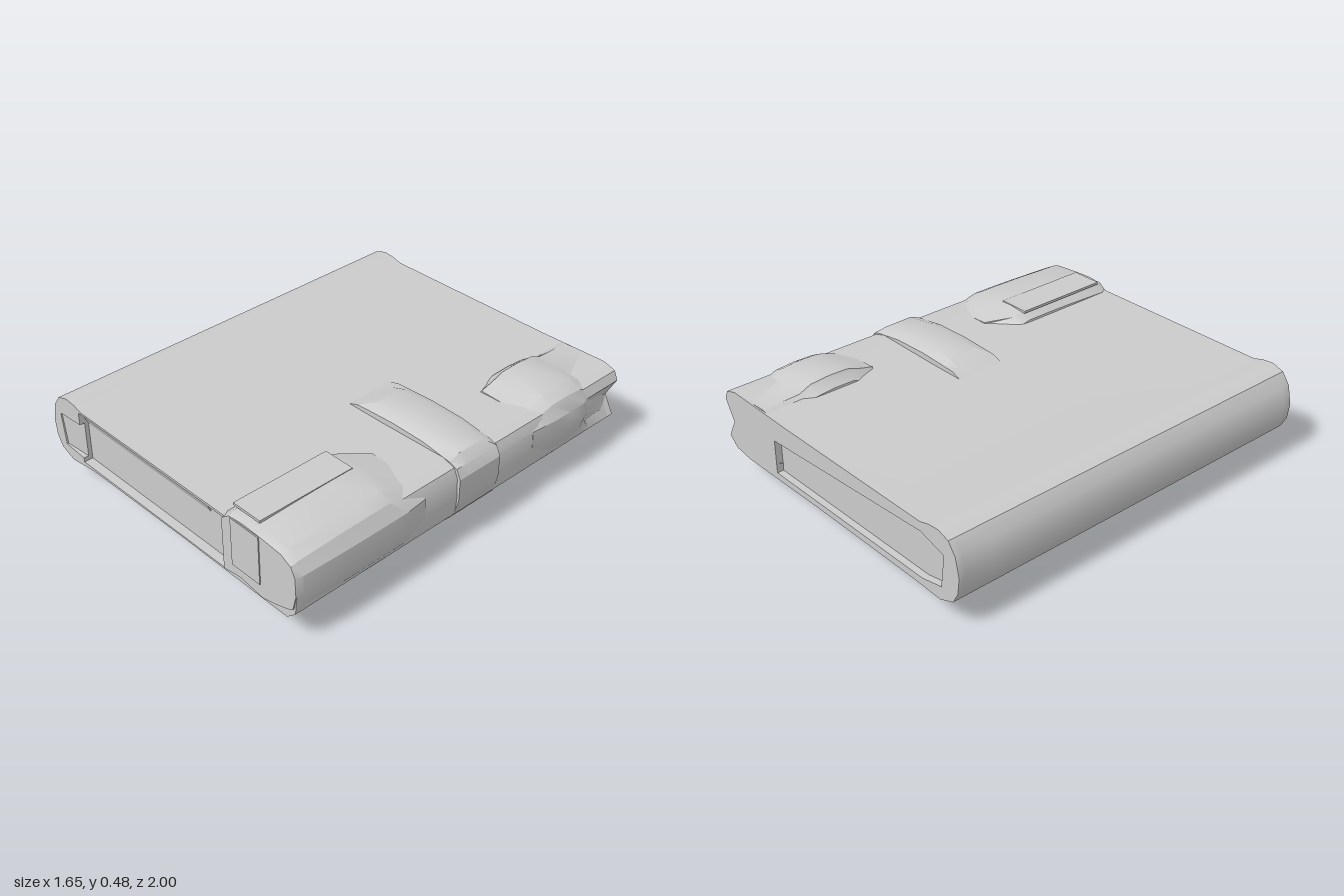
import * as THREE from 'three';
import { toCreasedNormals } from 'three/addons/utils/BufferGeometryUtils.js';

const material = new THREE.MeshStandardMaterial({ color: 0xcccccc, side: THREE.DoubleSide });

function addMesh(group, name, geometry, crease = 0.5) {
  const mesh = new THREE.Mesh(toCreasedNormals(geometry, crease), material);
  mesh.name = name;
  group.add(mesh);
  return mesh;
}

// Skin a closed solid through counter-clockwise outlines, ordered back to front.
function loft(sections) {
  const n = sections[0].points.length;
  const positions = [];
  const index = [];
  sections.forEach(({ z, points }) => points.forEach(([x, y]) => positions.push(x, y, z)));
  for (let k = 0; k < sections.length - 1; k++) {
    for (let i = 0; i < n; i++) {
      const a = k * n + i, b = k * n + (i + 1) % n;
      index.push(a, b, b + n, a, b + n, a + n);
    }
  }
  const cap = (section, base, flip) => {
    const outline = section.points.map(([x, y]) => new THREE.Vector2(x, y));
    THREE.ShapeUtils.triangulateShape(outline, []).forEach(([a, b, c]) =>
      index.push(base + a, base + (flip ? c : b), base + (flip ? b : c)));
  };
  cap(sections[0], 0, true);
  cap(sections.at(-1), (sections.length - 1) * n, false);
  const geometry = new THREE.BufferGeometry();
  geometry.setAttribute('position', new THREE.Float32BufferAttribute(positions, 3));
  geometry.setIndex(index);
  geometry.computeVertexNormals();
  return geometry;
}

// Book outline: rounded spine on the right-hand side, fore edge on the left-hand side.
const bookOutline = (dent = 0, low = 0) => [
  [0.72, 0.435], [0.35, 0.427], [-0.6, 0.425], [-0.65, 0.44], [-0.71, 0.445],
  [-0.77, 0.425], [-0.81, 0.37], [-0.83, 0.28], [-0.82, 0.2], [-0.79, 0.145],
  [-0.71, 0.113], [-0.55, 0.12 + low], [0.1, 0.125 + low], [0.65, 0.12 + low],
  [0.75, 0.135], [0.8, 0.18], [0.81 - dent, 0.27], [0.805, 0.37], [0.785, 0.415],
];

// Clasp outline wrapping the fore edge between inner edge x0 and the outer edge.
const claspOutline = (x0, top, bottom, outer = 0.825, low = 0.3) => [
  [x0, 0.4], [x0, 0.2], [low, 0.15], [low + 0.1, bottom + 0.02], [low + 0.24, bottom],
  [0.68, bottom + 0.015], [0.76, Math.max(bottom + 0.04, 0.13)], [outer - 0.02, 0.2],
  [outer, 0.28], [outer - 0.003, 0.37], [0.785, top - 0.045], [0.73, top - 0.015],
  [0.6, top - 0.004], [0.5, top], [x0 + 0.05, top - 0.008], [x0 + 0.005, top - 0.04],
];

const shapeOf = points => new THREE.Shape(points.map(p => new THREE.Vector2(...p)));

// Raised border of an end face, leaving the page block set back.
function endRim(group, name, outline, hole, z, depth) {
  const shape = shapeOf(outline);
  shape.holes.push(new THREE.Path(hole.map(p => new THREE.Vector2(...p))));
  const geometry = new THREE.ExtrudeGeometry(shape, { depth, bevelEnabled: false });
  addMesh(group, name, geometry.translate(0, 0, z));
}

export function createModel() {
  const model = new THREE.Group();
  model.name = 'claspedBook';

  // Closed book with a hollow at the back end of the fore edge
  addMesh(model, 'bookBody', loft([
    { z: -0.965, points: bookOutline(0.06) },
    { z: -0.82, points: bookOutline(0.04) },
    { z: -0.76, points: bookOutline(0) },
    { z: 0.2, points: bookOutline(0) },
    { z: 0.945, points: bookOutline(0, 0.015) },
  ]));

  // Cover borders at both ends
  endRim(model, 'frontCoverRim', bookOutline(0, 0.015), [
    [-0.62, 0.415], [-0.62, 0.35], [-0.77, 0.34], [-0.75, 0.18],
    [-0.62, 0.17], [-0.62, 0.148], [0.37, 0.148], [0.37, 0.415],
  ], 0.945, 0.045);
  endRim(model, 'backCoverRim', bookOutline(0.06), [
    [-0.74, 0.34], [-0.72, 0.18], [-0.6, 0.155], [0.42, 0.155], [0.42, 0.32], [-0.6, 0.38],
  ], -0.998, 0.033);

  // Sloping page edge beneath the top cover
  const slope = new THREE.ExtrudeGeometry(
    shapeOf([[-0.945, 0.34], [-0.945, 0.416], [-0.98, 0.416]]),
    { depth: 0.86, bevelEnabled: false });
  addMesh(model, 'pageEdgeSlope', slope.rotateY(Math.PI / 2).translate(-0.62, 0, 0));

  // Sloping inset in the front end of the spine
  const inset = new THREE.ExtrudeGeometry(
    shapeOf([[-0.775, -0.985], [-0.62, -0.965], [-0.62, -0.94], [-0.775, -0.94]]),
    { depth: 0.19, bevelEnabled: false });
  addMesh(model, 'spineInset', inset.rotateX(-Math.PI / 2).scale(1, 1, 1).translate(0, 0.165, 0));

  // Front clasp, running forward to the end of the book
  addMesh(model, 'frontClasp', loft([
    { z: 0.28, points: claspOutline(0.45, 0.435, 0.125, 0.812) },
    { z: 0.4, points: claspOutline(0.37, 0.462, 0.1) },
    { z: 0.46, points: claspOutline(0.365, 0.478, 0.082, 0.825, 0.26) },
    { z: 0.58, points: claspOutline(0.365, 0.478, 0.07, 0.825, 0.25) },
    { z: 0.72, points: claspOutline(0.365, 0.476, 0.105) },
    { z: 0.96, points: claspOutline(0.365, 0.468, 0.138, 0.82, 0.37) },
    { z: 0.995, points: claspOutline(0.37, 0.458, 0.145, 0.81, 0.37) },
  ]), 0.45);

  // Rim and shallow plates on the front clasp
  const ridge = new THREE.BoxGeometry(0.16, 0.012, 0.5);
  addMesh(model, 'claspTopPlate', ridge.translate(0.475, 0.473, 0.7));
  const plate = new THREE.BoxGeometry(0.17, 0.24, 0.012);
  addMesh(model, 'claspFrontPlate', plate.translate(0.515, 0.33, 0.994));

  // Rear clasp and its tapered tail
  addMesh(model, 'rearClasp', loft([
    { z: -0.99, points: claspOutline(0.42, 0.436, 0.122, 0.79, 0.44) },
    { z: -0.8, points: claspOutline(0.44, 0.445, 0.12, 0.8, 0.4) },
    { z: -0.74, points: claspOutline(0.445, 0.472, 0.1, 0.82) },
    { z: -0.64, points: claspOutline(0.445, 0.48, 0.078, 0.822, 0.26) },
    { z: -0.54, points: claspOutline(0.445, 0.478, 0.07, 0.822, 0.25) },
    { z: -0.46, points: claspOutline(0.445, 0.452, 0.105, 0.815) },
    { z: -0.4, points: claspOutline(0.445, 0.438, 0.124, 0.81) },
  ].map((s, i) => i > 0 ? s : {
    // hollow at the outer edge of the tail
    z: s.z, points: s.points.map(([x, y]) => [x > 0.78 && y > 0.22 && y < 0.32 ? 0.75 : x, y]),
  })), 0.45);

  // Middle strap over the fore edge
  const strap = swell => [
    [0.15, 0.425], [0.15, 0.3], [0.3, 0.13], [0.68, 0.1], [0.75, 0.115], [0.795, 0.17],
    [0.82, 0.26], [0.822, 0.37], [0.8, 0.415], [0.76, 0.442 + swell],
    [0.6, 0.465 + swell], [0.42, 0.469 + swell], [0.28, 0.462 + swell], [0.21, 0.446],
  ];
  addMesh(model, 'middleStrap', loft([
    { z: -0.165, points: strap(-0.012) },
    { z: -0.12, points: strap(0.008) },
    { z: 0.03, points: strap(0.011) },
    { z: 0.085, points: strap(-0.012) },
  ]), 0.45);

  // Pointed strap end hanging beneath the book
  const strapEnd = tip => [
    [0.02, 0.14], [0.18, 0.075 + tip * 0.5], [0.24, 0.035 + tip], [0.38, tip],
    [0.5, 0.025 + tip], [0.66, 0.085], [0.76, 0.13], [0.6, 0.16],
  ];
  addMesh(model, 'strapEnd', loft([
    { z: -0.14, points: strapEnd(0.03) },
    { z: 0, points: strapEnd(0.022) },
    { z: 0.088, points: strapEnd(0) },
  ]), 0.3);

  return model;
}
